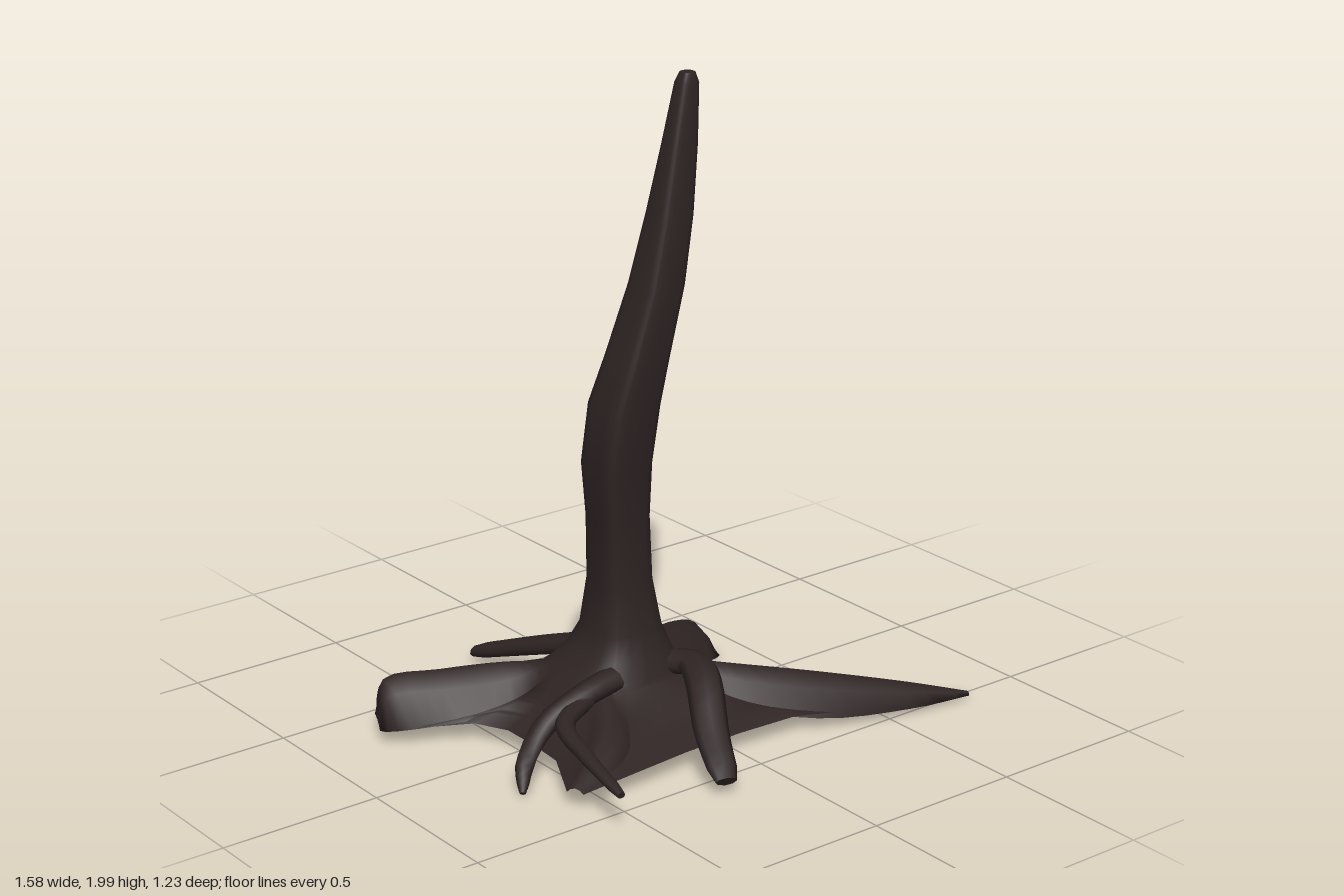
import * as THREE from 'three';

const bark = new THREE.MeshStandardMaterial({ color: 0x2f2424, side: THREE.DoubleSide });
bark.name = 'darkBark';

// Skin a list of equal-sized rings; optional fans close the first and last ring
function loft(name, rings, capStart, capEnd) {
  const n = rings[0].length, pos = [], index = [];
  rings.forEach(ring => ring.forEach(p => pos.push(p.x, p.y, p.z)));
  for (let j = 0; j < rings.length - 1; j++) {
    for (let i = 0; i < n; i++) {
      const a = j * n + i, b = j * n + (i + 1) % n;
      index.push(a, a + n, b, b, a + n, b + n);
    }
  }
  const cap = (j, flip) => {
    const c = rings[j].reduce((s, p) => s.add(p), new THREE.Vector3()).divideScalar(n);
    const base = pos.length / 3;
    rings[j].forEach(p => pos.push(p.x, p.y, p.z));
    pos.push(c.x, c.y, c.z);
    for (let i = 0; i < n; i++) {
      const k = (i + 1) % n;
      index.push(base + n, base + (flip ? k : i), base + (flip ? i : k));
    }
  };
  if (capStart) cap(0, false);
  if (capEnd) cap(rings.length - 1, true);
  const g = new THREE.BufferGeometry();
  g.setAttribute('position', new THREE.Float32BufferAttribute(pos, 3));
  g.setIndex(index);
  g.computeVertexNormals();
  const mesh = new THREE.Mesh(g, bark);
  mesh.name = name;
  return mesh;
}

// Thin root swept along points [x, y, z, half width, half height]
function thinRoot(name, pts, sides = 8, steps = 14) {
  const curve = new THREE.CatmullRomCurve3(pts.map(p => new THREE.Vector3(p[0], p[1], p[2])));
  const rings = [];
  for (let j = 0; j <= steps; j++) {
    const t = j / steps, f = t * (pts.length - 1);
    const k = Math.min(Math.floor(f), pts.length - 2);
    const size = q => THREE.MathUtils.lerp(pts[k][q], pts[k + 1][q], f - k);
    const d = curve.getTangent(t), c = curve.getPoint(t);
    const s = new THREE.Vector3().crossVectors(d, new THREE.Vector3(0, 1, 0)).normalize();
    const u = new THREE.Vector3().crossVectors(s, d);
    const end = j === steps ? 0.75 : 1;
    rings.push(Array.from({ length: sides }, (_, i) => {
      const a = i / sides * Math.PI * 2;
      return c.clone().addScaledVector(s, Math.cos(a) * size(3) * end)
        .addScaledVector(u, Math.sin(a) * size(4) * end);
    }));
  }
  return loft(name, rings, true, true);
}

// Trunk sections: height, x range, z range, skew and squareness (low is square)
const SECTIONS = [
  [0.22, -0.36, 0.00, -0.15, 0.21, 0, 0.75], [0.28, -0.31, -0.03, -0.10, 0.19, 0, 0.75],
  [0.35, -0.28, -0.06, -0.06, 0.165, 0, 0.75], [0.5, -0.27, -0.095, -0.025, 0.155, 0.05, 0.7],
  [0.7, -0.28, -0.115, -0.005, 0.16, 0.12, 0.55], [0.87, -0.30, -0.12, 0.0, 0.18, 0.15, 0.5],
  [1.05, -0.285, -0.105, 0.015, 0.20, 0.15, 0.5], [1.2, -0.24, -0.08, 0.045, 0.21, 0.15, 0.5],
  [1.4, -0.18, -0.04, 0.075, 0.22, 0.1, 0.55], [1.6, -0.135, -0.01, 0.1, 0.217, 0.1, 0.6],
  [1.8, -0.09, 0.01, 0.12, 0.205, 0.1, 0.65], [1.97, -0.05, 0.015, 0.135, 0.195, 0, 0.7],
  [2.0, -0.035, 0.005, 0.145, 0.185, 0, 0.7],
];
const trunkPoint = ([y, x0, x1, z0, z1, skew, power], deg) => {
  const t = THREE.MathUtils.degToRad(deg);
  const squarish = v => Math.sign(v) * Math.abs(v) ** power;
  return new THREE.Vector3(
    (x0 + x1) / 2 + (x1 - x0) / 2 * squarish(Math.cos(t)), y,
    (z0 + z1) / 2 + (z1 - z0) / 2 * squarish(Math.sin(t - skew)));
};

// Thick roots of the draped base: direction in degrees, spine of
// [x, crest y, z, half width, edge y], then hem points [x, z] up to the next root
const THICK_ROOTS = [
  { deg: 26, // front left
    spine: [[0.1, 0.205, 0.22, 0.088, 0.11], [0.32, 0.16, 0.335, 0.105, 0.05],
      [0.6, 0.09, 0.46, 0.065, 0.03], [0.785, 0.035, 0.537, 0.012, 0.025]],
    hem: [[0.2, 0.41], [0, 0.4], [-0.2, 0.405], [-0.42, 0.425]] },
  { deg: 140, // front right
    spine: [[-0.4, 0.17, 0.29, 0.07, 0.11], [-0.6, 0.075, 0.405, 0.025, 0.06]],
    hem: [[-0.53, 0.22], [-0.52, 0.1], [-0.52, -0.03], [-0.57, -0.13]] },
  { deg: 216, // back right
    spine: [[-0.42, 0.21, -0.18, 0.1, 0.1], [-0.6, 0.205, -0.265, 0.1, 0.07],
      [-0.75, 0.188, -0.338, 0.082, 0.055], [-0.768, 0.06, -0.348, 0.06, 0.05]],
    hem: [[-0.45, -0.3], [-0.25, -0.3], [0, -0.3], [0.22, -0.3]] },
  { deg: 333, // back left
    spine: [[0.02, 0.188, -0.12, 0.08, 0.12], [0.2, 0.17, -0.19, 0.09, 0.05],
      [0.33, 0.125, -0.22, 0.075, 0.02], [0.385, 0.014, -0.222, 0.045, 0.01]],
    hem: [[0.2, -0.1], [0.18, 0], [0.18, 0.12], [0.21, 0.2]] },
];
const SPREAD = 14;

// Columns run from the trunk foot out to the hem, in order around the trunk
function baseColumns() {
  const columns = [];
  const add = (deg, pts) => columns.push({ deg, curve:
    new THREE.CatmullRomCurve3([trunkPoint(SECTIONS[0], deg), ...pts]) });
  THICK_ROOTS.forEach(({ deg, spine, hem }, k) => {
    const a = spine[0], b = spine[spine.length - 1];
    const side = new THREE.Vector2(a[2] - b[2], b[0] - a[0]).normalize();
    for (const [o, drop] of [[-1, 1], [-0.6, 0.3], [0, 0], [0.6, 0.3], [1, 1]]) {
      add(deg + o * SPREAD, spine.map(([x, y, z, w, low]) => new THREE.Vector3(
        x + side.x * w * o, y + (low - y) * drop, z + side.y * w * o)));
    }
    const next = k < 3 ? THICK_ROOTS[k + 1].deg : THICK_ROOTS[0].deg + 360;
    hem.forEach(([x, z], i) => {
      const angle = THREE.MathUtils.lerp(deg + SPREAD, next - SPREAD, (i + 1) / (hem.length + 1));
      const foot = trunkPoint(SECTIONS[0], angle);
      add(angle, [new THREE.Vector3((foot.x + x) / 2, 0.125, (foot.z + z) / 2),
        new THREE.Vector3(x, 0.07, z)]);
    });
  });
  return columns;
}

export function createModel() {
  const group = new THREE.Group();
  group.name = 'deadTree';

  // Trunk with its hollow draped base
  const columns = baseColumns(), steps = 16;
  const rings = [];
  for (let j = steps; j > 0; j--) rings.push(columns.map(c => c.curve.getPoint(j / steps)));
  SECTIONS.forEach(s => rings.push(columns.map(c => trunkPoint(s, c.deg))));
  group.add(loft('trunkAndBase', rings, false, true));

  // Thin arching roots
  group.add(
    thinRoot('backThinRoot', [[-0.135, 0.235, -0.09, 0.05, 0.03], [-0.127, 0.2, -0.17, 0.055, 0.033],
      [-0.165, 0.13, -0.37, 0.052, 0.03], [-0.23, 0.045, -0.61, 0.04, 0.022]]),
    thinRoot('frontThinRoot', [[-0.07, 0.235, 0.16, 0.05, 0.035], [-0.04, 0.245, 0.23, 0.055, 0.035],
      [-0.08, 0.235, 0.33, 0.055, 0.035], [-0.16, 0.14, 0.47, 0.052, 0.03],
      [-0.212, 0.055, 0.6, 0.042, 0.025]]),
    thinRoot('sideThinRoot', [[-0.28, 0.24, 0.165, 0.045, 0.035], [-0.4, 0.22, 0.175, 0.04, 0.035],
      [-0.53, 0.165, 0.17, 0.035, 0.03], [-0.62, 0.08, 0.195, 0.03, 0.022],
      [-0.67, 0.02, 0.25, 0.012, 0.01]]),
    thinRoot('sideRootBranch', [[-0.4, 0.21, 0.185, 0.03, 0.025], [-0.52, 0.19, 0.25, 0.03, 0.025],
      [-0.56, 0.165, 0.4, 0.025, 0.02], [-0.585, 0.125, 0.6, 0.016, 0.014]]));
  return group;
}
